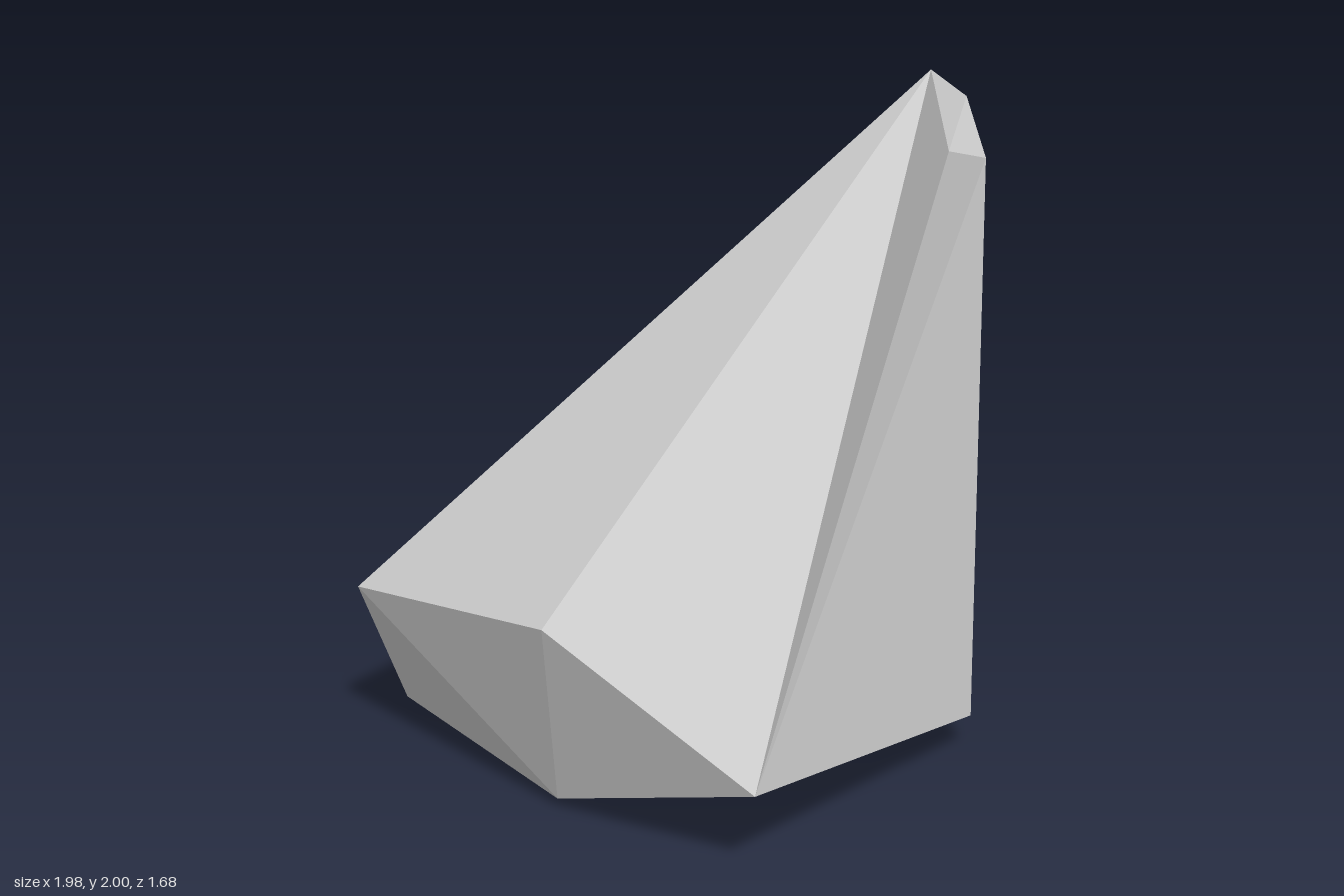
import * as THREE from 'three';

// Faceted boulder: fourteen corners joined by flat facets, with shallow creases
export function createModel() {
  const corners = [
    // 0-3 slanted peak
    [0.37, 1.85, 0.56], [0.605, 1.79, 0.52], [0.985, 1.885, 0.15], [0.765, 2.0, 0.175],
    // 4-8 middle ring
    [-0.99, 0.655, 0.235], [-0.92, 0.52, -0.67], [0.41, 0.88, -0.67],
    [0.76, 0.57, -0.43], [0.805, 0.48, 0.05],
    // 9-10 front lower edge
    [-0.77, 0.27, 0.84], [0.335, 0.11, 0.735],
    // 11-13 underside
    [0.385, 0.02, -0.19], [-0.61, 0, -0.84], [-0.82, 0.03, 0.1],
  ];

  const facets = [
    // peak
    [0, 1, 2], [0, 2, 3],
    // sides, from the back round the left to the front and right
    [3, 2, 6], [6, 2, 7], [7, 2, 8], [8, 2, 1], [8, 1, 11], [11, 1, 10],
    [10, 1, 9], [9, 1, 0], [9, 0, 3], [9, 3, 4], [4, 3, 5], [5, 3, 6],
    // lower back and left
    [5, 6, 12], [6, 7, 12], [12, 7, 11], [7, 8, 11],
    // underside and lower right
    [10, 9, 13], [11, 10, 13], [12, 11, 13], [5, 12, 13], [4, 5, 13], [9, 4, 13],
  ];

  const geometry = new THREE.BufferGeometry();
  const positions = facets.flat().flatMap(i => corners[i]);
  geometry.setAttribute('position', new THREE.Float32BufferAttribute(positions, 3));
  geometry.computeVertexNormals();

  const material = new THREE.MeshStandardMaterial({ color: 0xcccccc, flatShading: true });
  const rock = new THREE.Mesh(geometry, material);
  rock.name = 'rock';

  const group = new THREE.Group();
  group.name = 'boulder';
  group.add(rock);
  return group;
}
